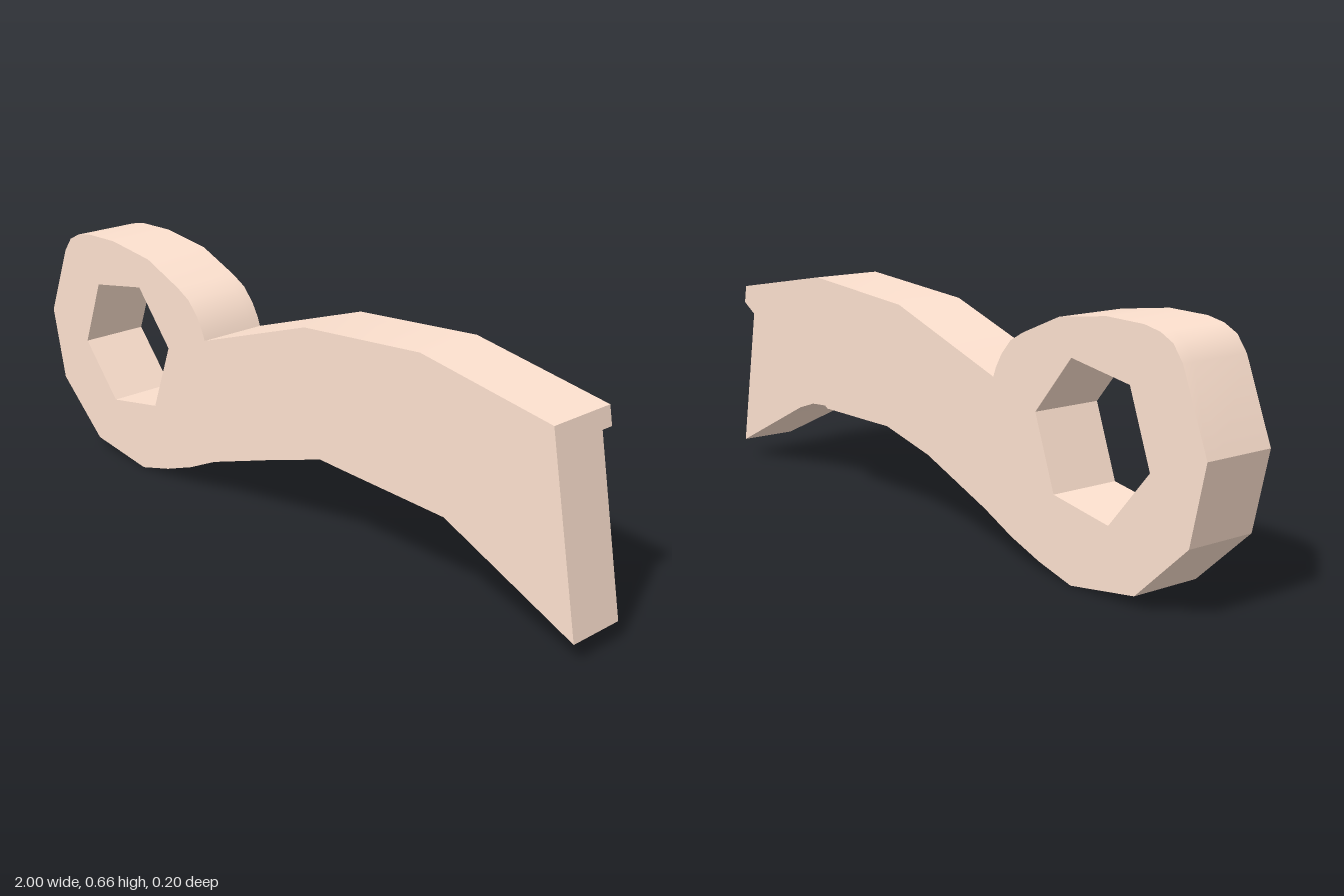
import * as THREE from 'three';
import { mergeGeometries, toCreasedNormals } from 'three/addons/utils/BufferGeometryUtils.js';

const FRONT = 0.1, BACK = -0.1, STEP = -0.065; // z of the front, back and recessed back faces

// Ends of the slanting edge where the tip becomes thinner
const CUT_A = [0.919, 0.5], CUT_B = [0.47, 0.236];

// Underside points [x, y at the front, rise towards the back]
const TIP_UNDERSIDE = [[1, 0.05, 0], [0.83, 0.1265, 0.025], [0.67, 0.1985, 0.015], [0.6, 0.23, 0.005]];
const ARM_UNDERSIDE = [[...CUT_B, 0.011], [0.25, 0.246, 0.003], [0.175, 0.25, 0], [-0.01, 0.193, 0.014]];
const UNDERSIDE = [...TIP_UNDERSIDE, ...ARM_UNDERSIDE];

const HEAD_AND_ARM = [
  // ring, over the top to the notch
  [-0.955, 0.185], [-1, 0.39], [-0.92, 0.59], [-0.89, 0.63], [-0.85, 0.65], [-0.8, 0.66],
  [-0.68, 0.662], [-0.52, 0.64], [-0.39, 0.585], [-0.345, 0.56], [-0.31, 0.52], [-0.29, 0.485], [-0.28, 0.46],
  // arm, top side to the tip corner
  [0.115, 0.59], [0.51, 0.62], [0.91, 0.55], CUT_A,
  // underside back to the ring
  ...ARM_UNDERSIDE,
  [-0.25, 0.115], [-0.355, 0.067], [-0.46, 0.03], [-0.575, 0], [-0.79, 0.033],
];
const TIP = [CUT_A, ...TIP_UNDERSIDE, CUT_B];
// Runs the opposite way round to the outline so its walls face into the hole
const HEX_HOLE = [[-0.83, 0.33], [-0.7, 0.178], [-0.51, 0.21], [-0.44, 0.4], [-0.565, 0.55], [-0.76, 0.518]];

const toPoints = (list) => list.map(([x, y]) => new THREE.Vector2(x, y));

const onCut = (x, y) => {
  const dx = CUT_B[0] - CUT_A[0], dy = CUT_B[1] - CUT_A[1];
  return Math.abs((x - CUT_A[0]) * dy - (y - CUT_A[1]) * dx) < 1e-4;
};

// Extrudes an outline, leaves the join at the cut open and lifts the rear underside
function plate(outline, holes, back) {
  const shape = new THREE.Shape(toPoints(outline));
  shape.holes = holes.map((hole) => new THREE.Path(toPoints(hole)));
  const full = back < STEP;
  const source = new THREE.ExtrudeGeometry(shape, {
    depth: FRONT - back, steps: full ? 2 : 1, bevelEnabled: false,
  }).translate(0, 0, back);
  const p = source.attributes.position;
  const kept = [];
  for (let i = 0; i < p.count; i += 3) {
    const corners = [0, 1, 2].map((k) => {
      const v = new THREE.Vector3().fromBufferAttribute(p, i + k);
      if (full && Math.abs(v.z) < 1e-4) v.z = STEP; // middle ring sits at the step
      return v;
    });
    if (corners.every((v) => onCut(v.x, v.y) && v.z > STEP - 1e-4)) continue;
    for (const v of corners) {
      const lift = UNDERSIDE.find(([x, y]) => Math.hypot(v.x - x, v.y - y) < 1e-4);
      if (lift) v.y += lift[2] * (FRONT - v.z) / (FRONT - BACK);
      kept.push(v.x, v.y, v.z);
    }
  }
  const geometry = new THREE.BufferGeometry();
  geometry.setAttribute('position', new THREE.Float32BufferAttribute(kept, 3));
  return geometry;
}

export function createModel() {
  const group = new THREE.Group();
  group.name = 'lever';
  const material = new THREE.MeshStandardMaterial({ color: 0xfce0ce });

  // Ring head and arm at full thickness, joined to the thinner tip
  const geometry = toCreasedNormals(mergeGeometries([
    plate(HEAD_AND_ARM, [HEX_HOLE], BACK),
    plate(TIP, [], STEP),
  ]), Math.PI / 6);
  const lever = new THREE.Mesh(geometry, material);
  lever.name = 'leverArm';
  group.add(lever);
  return group;
}
